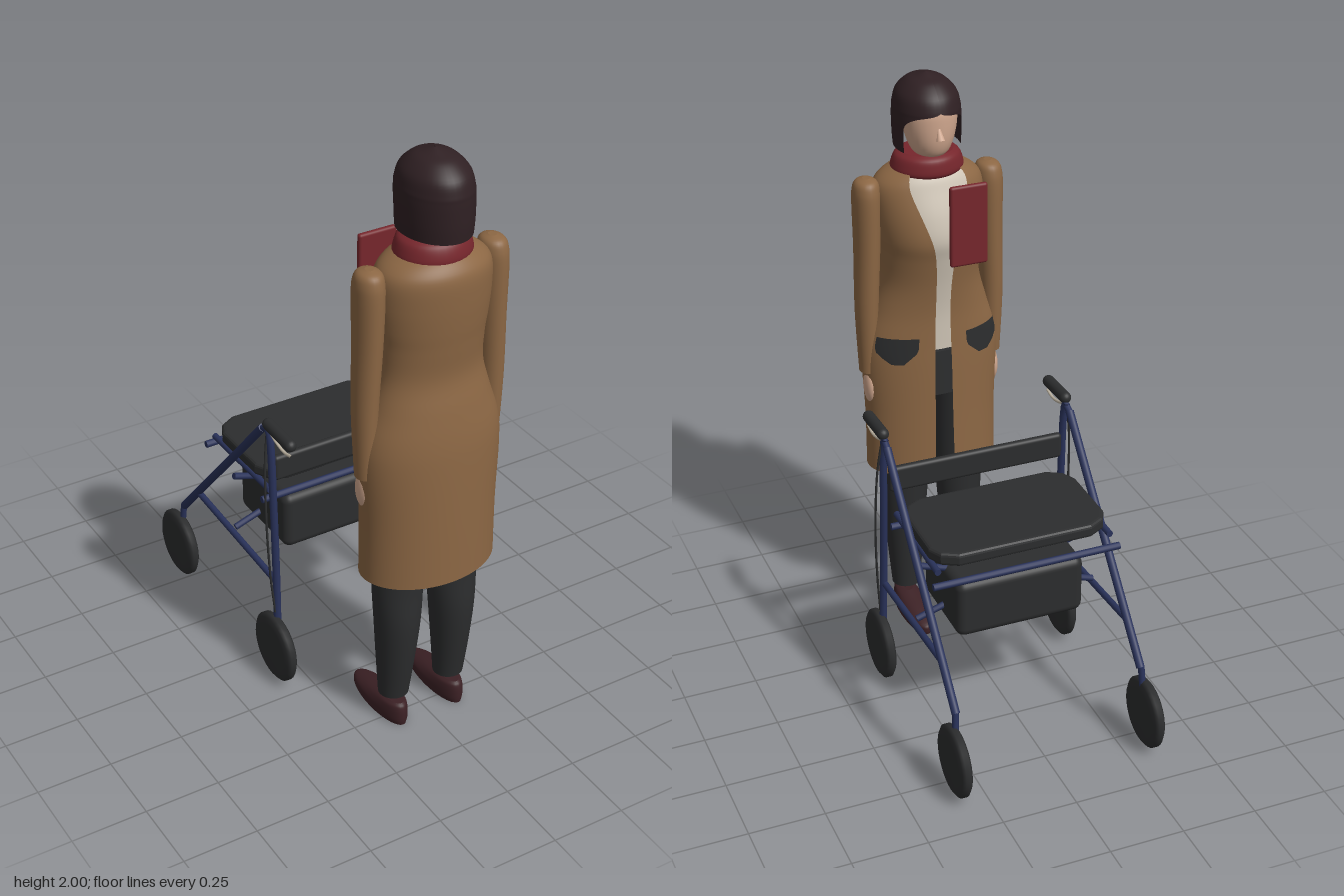
import * as THREE from 'three';
import { RoundedBoxGeometry } from 'three/addons/geometries/RoundedBoxGeometry.js';

const mat = (name, color, side = THREE.FrontSide) => {
  const m = new THREE.MeshStandardMaterial({ color, side });
  m.name = name;
  return m;
};

const TAU = Math.PI * 2;

// Rows are [y, cx, cz, rx, rFront, rBack, a0, a1], rising in y; angle 0 points to -z.
function refine(rows, n = 5) {
  const full = rows.map(r => [...r.slice(0, 6), r[6] ?? 0, r[7] ?? TAU - (r[6] ?? 0)]);
  const out = [];
  for (let i = 0; i < full.length - 1; i++) {
    const p = [full[Math.max(i - 1, 0)], full[i], full[i + 1], full[Math.min(i + 2, full.length - 1)]];
    for (let k = 0; k < n; k++) {
      const t = k / n;
      out.push(p[1].map((b, c) => {
        const a = p[0][c], d = p[2][c], e = p[3][c];
        return b + 0.5 * t * (d - a + t * (2 * a - 5 * b + 4 * d - e + t * (3 * (b - d) + e - a)));
      }));
    }
  }
  out.push(full[full.length - 1]);
  return out;
}

// Skin a stack of elliptical rows, optionally open over an arc or capped at the ends.
function loft(rows, seg = 32, caps = true) {
  const closed = rows.every(r => r[6] === 0 && r[7] === TAU);
  let list = rows;
  if (caps) {
    const point = r => [r[0], r[1], r[2], 0, 0, 0, r[6], r[7]];
    const a = rows[0], b = rows[rows.length - 1];
    list = [point(a), a, ...rows, b, point(b)];
  }
  const cols = closed ? seg : seg + 1;
  const pos = [], idx = [];
  for (const [y, cx, cz, rx, rf, rb, a0, a1] of list) {
    for (let i = 0; i < cols; i++) {
      const a = a0 + (a1 - a0) * i / seg, c = Math.cos(a);
      pos.push(cx + rx * Math.sin(a), y, cz - (c > 0 ? rf : rb) * c);
    }
  }
  for (let j = 0; j < list.length - 1; j++) {
    for (let i = 0; i < seg; i++) {
      const k = (i + 1) % cols;
      const a = j * cols + i, b = j * cols + k, c = a + cols, d = b + cols;
      idx.push(a, c, b, b, c, d);
    }
  }
  const g = new THREE.BufferGeometry();
  g.setAttribute('position', new THREE.Float32BufferAttribute(pos, 3));
  g.setIndex(idx);
  g.computeVertexNormals();
  return g;
}

export function createModel() {
  const M = {
    coat: mat('camel coat', 0x8c6744, THREE.DoubleSide),
    hair: mat('dark brown hair', 0x2f2023, THREE.DoubleSide),
    skin: mat('skin', 0xd0a78e),
    scarf: mat('red scarf', 0x76262c),
    shirt: mat('cream shirt', 0xcdc3b4),
    charcoal: mat('charcoal', 0x2c2d2e, THREE.DoubleSide),
    shoe: mat('oxblood shoe', 0x3c2125),
    frame: mat('navy frame', 0x29325a),
    metal: mat('pale metal', 0xbdb3a2),
  };
  const root = new THREE.Group();
  const woman = new THREE.Group(), walker = new THREE.Group();
  woman.name = 'woman';
  walker.name = 'rollator';
  root.add(woman, walker);

  const add = (parent, name, geo, material, x = 0, y = 0, z = 0) => {
    const m = new THREE.Mesh(geo, material);
    m.name = name;
    m.position.set(x, y, z);
    parent.add(m);
    return m;
  };
  // Builds the +x side, then its mirror image.
  const bothSides = (parent, name, build) => {
    for (const s of [1, -1]) {
      const g = new THREE.Group();
      g.name = (s > 0 ? 'left' : 'right') + name;
      g.scale.x = s;
      build(g);
      parent.add(g);
    }
  };
  const rod = (parent, name, a, b, r = 0.012, material = M.frame) => {
    const p = new THREE.Vector3(...a), q = new THREE.Vector3(...b), d = q.clone().sub(p);
    const m = add(parent, name, new THREE.CylinderGeometry(r, r, d.length(), 12), material);
    m.position.copy(p).add(q).multiplyScalar(0.5);
    m.quaternion.setFromUnitVectors(new THREE.Vector3(0, 1, 0), d.normalize());
    return m;
  };
  const tube = (parent, name, pts, r, material) => add(parent, name, new THREE.TubeGeometry(
    new THREE.CatmullRomCurve3(pts.map(p => new THREE.Vector3(...p))), 24, r, 8), material);

  // Coat: y, half width, front z, back z, half width of the front opening
  const coatProfile = [
    [0.60, 0.230, 0.366, 0.671, 0.035], [0.80, 0.230, 0.370, 0.669, 0.032],
    [1.00, 0.239, 0.373, 0.664, 0.030], [1.10, 0.230, 0.375, 0.657, 0.028],
    [1.20, 0.198, 0.374, 0.642, 0.026], [1.30, 0.172, 0.362, 0.624, 0.026],
    [1.40, 0.172, 0.343, 0.632, 0.032], [1.47, 0.181, 0.330, 0.640, 0.045],
    [1.55, 0.188, 0.345, 0.646, 0.070], [1.63, 0.185, 0.375, 0.646, 0.095],
    [1.67, 0.155, 0.392, 0.628, 0.095], [1.70, 0.095, 0.415, 0.595, 0.070],
  ];
  const bodyZ = 0.51;
  const coatRows = refine(coatProfile.map(([y, rx, f, b, w]) =>
    [y, 0, bodyZ, rx, bodyZ - f, b - bodyZ, Math.asin(w / rx)]));
  add(woman, 'coat', loft(coatRows, 56, false), M.coat);

  // Shirt and trouser seat inside the coat
  const inner = (lo, hi, inset) => coatRows.filter(r => r[0] >= lo && r[0] <= hi)
    .map(r => [r[0], 0, bodyZ, r[3] - inset, r[4] - inset, r[5] - inset, 0, TAU]);
  add(woman, 'shirt', loft(inner(1.05, 1.71, 0.014), 40), M.shirt);
  add(woman, 'trouserSeat', loft(inner(0.88, 1.06, 0.03), 40), M.charcoal);

  bothSides(woman, 'CoatSide', g => {
    // Pocket patch lying on the coat
    const pocket = coatRows.filter(r => r[0] > 1.01 && r[0] < 1.125).map(r => {
      const t = THREE.MathUtils.clamp((r[0] - 1.02) / 0.05, 0, 1);
      return [r[0], 0, bodyZ, r[3] + 0.004, r[4] + 0.004, r[5], 0.62 - 0.25 * t, 0.74 + 0.4 * t];
    });
    add(g, 'pocket', loft(pocket, 10, false), M.charcoal);
    // Sleeve and hand
    add(g, 'sleeve', loft(refine([
      [0.975, 0.222, 0.505, 0.031, 0.036, 0.036], [1.20, 0.223, 0.503, 0.039, 0.047, 0.047],
      [1.42, 0.216, 0.503, 0.043, 0.056, 0.056], [1.58, 0.214, 0.503, 0.046, 0.060, 0.060],
      [1.635, 0.213, 0.503, 0.044, 0.055, 0.055], [1.66, 0.212, 0.503, 0.034, 0.042, 0.042],
      [1.67, 0.211, 0.503, 0.012, 0.015, 0.015]]), 24), M.coat);
    add(g, 'hand', new THREE.SphereGeometry(1, 20, 14), M.skin, 0.222, 0.918, 0.497)
      .scale.set(0.02, 0.062, 0.036);
    // Trouser leg and shoe
    add(g, 'trouserLeg', loft(refine([
      [0.10, 0.105, 0.500, 0.050, 0.048, 0.050], [0.25, 0.104, 0.505, 0.062, 0.063, 0.070],
      [0.40, 0.102, 0.508, 0.074, 0.073, 0.082], [0.55, 0.100, 0.506, 0.084, 0.078, 0.079],
      [0.75, 0.100, 0.508, 0.088, 0.088, 0.088], [0.95, 0.098, 0.510, 0.085, 0.095, 0.095]]), 28), M.charcoal);
    add(g, 'shoe', loft(refine([
      [0, 0.107, 0.43, 0.044, 0.147, 0.138], [0.015, 0.107, 0.43, 0.050, 0.149, 0.140],
      [0.035, 0.107, 0.44, 0.050, 0.150, 0.130], [0.055, 0.107, 0.47, 0.044, 0.115, 0.098],
      [0.07, 0.107, 0.495, 0.036, 0.070, 0.068], [0.078, 0.107, 0.505, 0.024, 0.045, 0.048]]), 28), M.shoe);
  });

  // Neck, head and nose
  add(woman, 'neck', new THREE.CylinderGeometry(0.05, 0.055, 0.16, 20), M.skin, 0, 1.70, 0.505);
  add(woman, 'head', loft(refine([
    [1.735, 0, 0.475, 0.035, 0.040, 0.05], [1.75, 0, 0.475, 0.058, 0.066, 0.08],
    [1.79, 0, 0.475, 0.076, 0.082, 0.11], [1.85, 0, 0.475, 0.088, 0.087, 0.13],
    [1.90, 0, 0.48, 0.088, 0.088, 0.12], [1.94, 0, 0.49, 0.070, 0.070, 0.09]]), 28), M.skin);
  const nose = add(woman, 'nose', new THREE.ConeGeometry(0.015, 0.055, 8), M.skin, 0, 1.835, 0.388);
  nose.rotation.x = 0.35;

  // Bobbed hair, open around the face
  add(woman, 'hair', loft(refine([
    [1.755, 0, 0.505, 0.106, 0.128, 0.138, 1.16], [1.80, 0, 0.505, 0.109, 0.130, 0.141, 1.14],
    [1.85, 0, 0.505, 0.110, 0.130, 0.141, 1.08], [1.88, 0, 0.505, 0.109, 0.130, 0.140, 0.7],
    [1.90, 0, 0.505, 0.107, 0.129, 0.138, 0], [1.94, 0, 0.505, 0.096, 0.114, 0.124, 0],
    [1.975, 0, 0.505, 0.064, 0.074, 0.082, 0], [1.99, 0, 0.505, 0.030, 0.034, 0.038, 0],
    [2.0, 0, 0.505, 0.002, 0.002, 0.002, 0]])
    .map(r => { const a = Math.max(0, r[6]); return [...r.slice(0, 6), a, TAU - a]; }), 40, false), M.hair);

  // Scarf collar and hanging end
  add(woman, 'scarfCollar', loft(refine([
    [1.665, 0, 0.508, 0.100, 0.095, 0.095], [1.68, 0, 0.508, 0.121, 0.108, 0.108],
    [1.705, 0, 0.508, 0.118, 0.108, 0.106], [1.73, 0, 0.508, 0.107, 0.102, 0.096],
    [1.742, 0, 0.508, 0.088, 0.084, 0.080]]), 32), M.scarf);
  add(woman, 'scarfEnd', new RoundedBoxGeometry(0.13, 0.28, 0.02, 3, 0.009), M.scarf, -0.068, 1.535, 0.315);

  // Wheel profile shared by all four wheels
  const wheelGeo = new THREE.LatheGeometry([[0, -0.022], [0.085, -0.02], [0.108, -0.017], [0.12, -0.008],
    [0.12, 0.008], [0.108, 0.017], [0.085, 0.02], [0, 0.022]].map(p => new THREE.Vector2(...p)), 32);
  wheelGeo.rotateZ(Math.PI / 2);

  bothSides(walker, 'WalkerSide', g => {
    add(g, 'rearWheel', wheelGeo, M.charcoal, 0.333, 0.122, 0.136);
    add(g, 'frontWheel', wheelGeo, M.charcoal, 0.333, 0.122, -0.552);
    // Frame tubes
    tube(g, 'handlePost', [[0.325, 0.14, 0.136], [0.32, 0.40, 0.124], [0.318, 0.70, 0.109],
      [0.318, 0.88, 0.100], [0.318, 0.935, 0.090], [0.318, 0.957, 0.075]], 0.013, M.frame);
    rod(g, 'diagonalLeg', [0.32, 0.93, 0.055], [0.32, 0.285, -0.53], 0.014);
    rod(g, 'diagonalJoint', [0.318, 0.945, 0.085], [0.32, 0.925, 0.05], 0.011);
    rod(g, 'frontFork', [0.322, 0.29, -0.53], [0.33, 0.12, -0.55], 0.011);
    rod(g, 'lowerRail', [0.318, 0.37, 0.115], [0.318, 0.405, -0.41], 0.011);
    rod(g, 'seatRail', [0.295, 0.68, 0.05], [0.295, 0.68, -0.325], 0.011);
    // Grip, brake lever and cable
    const grip = add(g, 'grip', new THREE.CapsuleGeometry(0.02, 0.135, 6, 16), M.charcoal, 0.32, 0.96, 0.16);
    grip.rotation.x = Math.PI / 2 + 0.04;
    tube(g, 'brakeLever', [[0.32, 0.945, 0.09], [0.32, 0.925, 0.13], [0.32, 0.912, 0.19],
      [0.32, 0.92, 0.235]], 0.005, M.metal);
    tube(g, 'brakeCable', [[0.325, 0.94, 0.09], [0.34, 0.82, 0.10], [0.347, 0.60, 0.115],
      [0.342, 0.40, 0.125], [0.332, 0.26, 0.134]], 0.004, M.charcoal);
    // One bar of the folding cross brace
    rod(g, 'crossBrace', [0.312, 0.615, -0.167], [-0.312, 0.41, -0.167], 0.011);
  });

  // Cross bars under the seat
  for (const z of [0.037, -0.345])
    rod(walker, 'crossBar', [-0.32, 0.643, z], [0.32, 0.643, z], 0.012);

  // Padded seat with clipped corners
  const w = 0.288, d = 0.171, c = 0.065;
  const seatShape = new THREE.Shape([[-w + c, -d], [w - c, -d], [w - 0.02, -d + 0.025], [w, -d + c],
    [w, d - c], [w - 0.02, d - 0.025], [w - c, d], [-w + c, d], [-w + 0.02, d - 0.025], [-w, d - c],
    [-w, -d + c], [-w + 0.02, -d + 0.025]].map(p => new THREE.Vector2(...p)));
  const seatGeo = new THREE.ExtrudeGeometry(seatShape,
    { depth: 0.022, bevelThickness: 0.012, bevelSize: 0.014, bevelSegments: 3 });
  seatGeo.rotateX(-Math.PI / 2);
  add(walker, 'seat', seatGeo, M.charcoal, 0, 0.70, -0.149);

  // Backrest strap and storage bag
  add(walker, 'backrest', new RoundedBoxGeometry(0.61, 0.09, 0.028, 4, 0.013), M.charcoal, 0, 0.79, 0.09);
  add(walker, 'bag', new RoundedBoxGeometry(0.44, 0.205, 0.315, 4, 0.03), M.charcoal, 0, 0.492, -0.145);

  return root;
}
